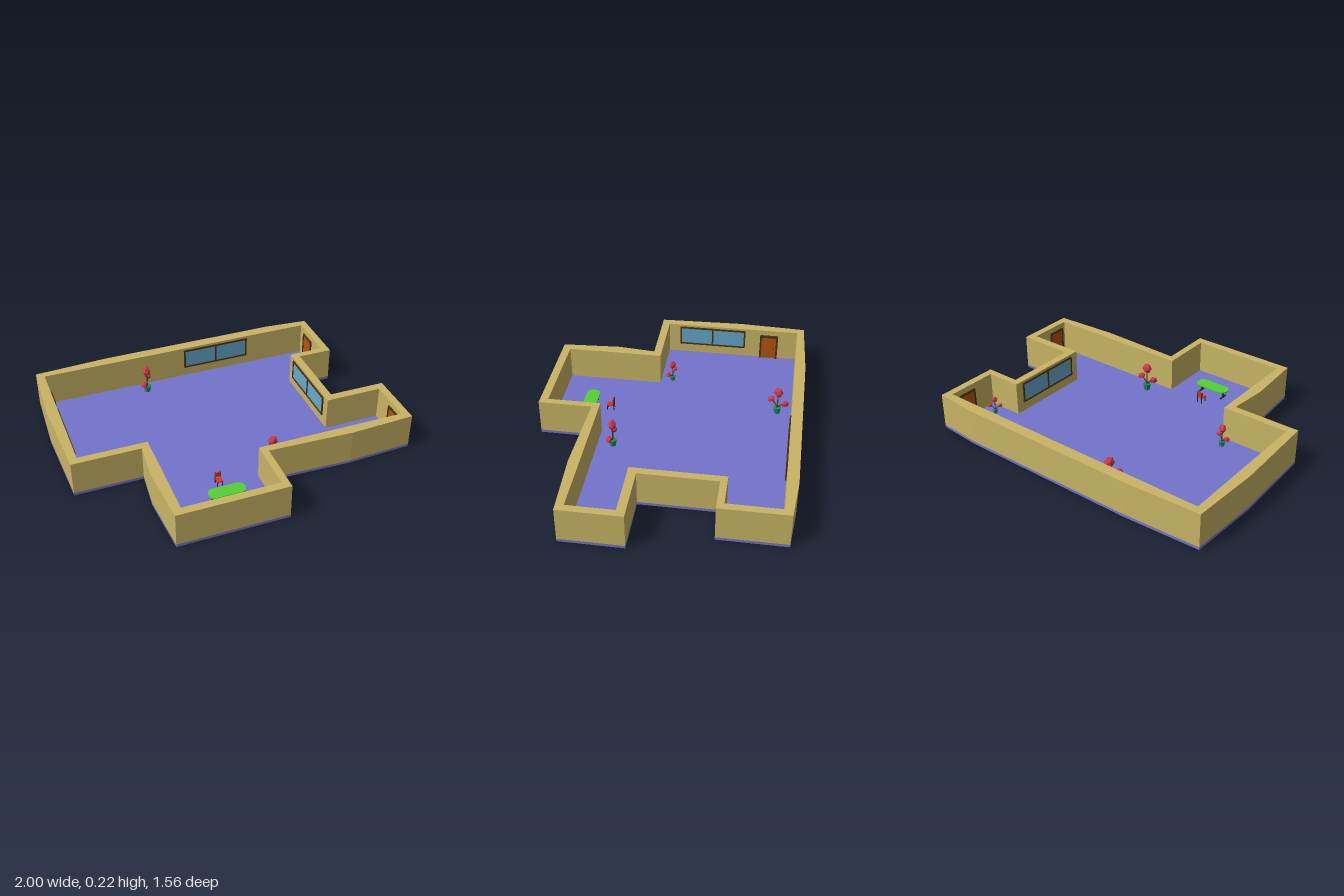
import * as THREE from 'three';

const FLOOR = 0.017, TOP = 0.222;
const mat = (color, flat = false) => new THREE.MeshStandardMaterial({ color, flatShading: flat });
const M = {
  floor: mat(0x7474cc), wall: mat(0xc9b565), frame: mat(0x4a3312), glass: mat(0x66a8cc),
  door: mat(0xb5560f), leaf: mat(0xd03a48, true), stem: mat(0x5a3818), pot: mat(0x1f8a5c, true),
  green: mat(0x55d033), dark: mat(0x2a2a2a), seat: mat(0xe03020),
};

function add(parent, name, geometry, material, x = 0, y = 0, z = 0) {
  const m = new THREE.Mesh(geometry, material);
  m.name = name;
  m.position.set(x, y, z);
  parent.add(m);
  return m;
}
const box = (w, h, d) => new THREE.BoxGeometry(w, h, d);

// Plan corners are [x, z]
const OUTER = [[-0.98, -0.76], [-0.52, -0.784], [0.6, -0.784], [0.864, -0.762], [0.864, -0.366],
  [0.65, -0.366], [0.65, 0.088], [0.997, 0.088], [0.997, 0.457], [0.6, 0.476], [0.085, 0.457],
  [0.085, 0.779], [-0.572, 0.779], [-0.594, 0.42], [-0.572, 0.187], [-0.98, 0.187], [-1, -0.34]];
const INNER = [[-0.933, -0.717], [0.82, -0.717], [0.82, -0.406], [0.604, -0.406], [0.604, 0.139],
  [0.952, 0.139], [0.952, 0.412], [0.043, 0.412], [0.043, 0.73], [-0.524, 0.73], [-0.524, 0.139],
  [-0.933, 0.139]];

// Extrude a plan shape between two heights
function slab(shape, y0, y1) {
  const g = new THREE.ExtrudeGeometry(shape, { depth: y1 - y0, bevelEnabled: false, curveSegments: 8 });
  return g.rotateX(Math.PI / 2).translate(0, y1, 0);
}
const toShape = (pts) => new THREE.Shape(pts.map(([x, z]) => new THREE.Vector2(x, z)));

// Two-pane window, built facing +z against a wall at z = 0
function makeWindow() {
  const g = new THREE.Group(), w = 0.44, h = 0.13, t = 0.01;
  g.name = 'window';
  for (const s of [-1, 1]) {
    add(g, 'windowRail', box(w, t, 0.008), M.frame, 0, s * (h - t) / 2, 0.004);
    add(g, 'windowStile', box(t, h, 0.008), M.frame, s * (w - t) / 2, 0, 0.004);
    add(g, 'windowPane', box(w / 2 - t, h - 2 * t, 0.004), M.glass, s * w / 4, 0, 0.002);
  }
  add(g, 'windowMullion', box(t, h, 0.008), M.frame, 0, 0, 0.004);
  return g;
}

// Door with frame, facing +z, standing on y = 0
function makeDoor(depth) {
  const g = new THREE.Group(), w = 0.12, h = 0.17, t = 0.012;
  g.name = 'door';
  for (const s of [-1, 1]) add(g, 'doorJamb', box(t, h, depth), M.frame, s * (w - t) / 2, h / 2, depth / 2);
  add(g, 'doorLintel', box(w, t, depth), M.frame, 0, h - t / 2, depth / 2);
  add(g, 'doorPanel', box(w - 2 * t, h - t, depth * 0.6), M.door, 0, (h - t) / 2, depth * 0.3);
  add(g, 'doorKnob', new THREE.SphereGeometry(0.004, 8, 6), M.dark, 0.035, 0.075, depth * 0.75);
  return g;
}

// Potted plant with one tall and two side leaf clumps
function makePlant() {
  const g = new THREE.Group();
  g.name = 'plant';
  add(g, 'pot', new THREE.CylinderGeometry(0.024, 0.018, 0.04, 8), M.pot, 0, 0.02, 0);
  const clumps = [[0, 0.15, 0, 0.032, 0.034, 0.026], [0.052, 0.078, 0.006, 0.026, 0.02, 0.02],
    [-0.05, 0.082, 0.006, 0.026, 0.022, 0.018]];
  clumps.forEach(([x, y, z, sx, sy, sz], i) => {
    const path = new THREE.QuadraticBezierCurve3(new THREE.Vector3(0, 0.035, 0),
      new THREE.Vector3(x * 0.2, y * 0.75, z), new THREE.Vector3(x, y, z));
    add(g, 'stem', new THREE.TubeGeometry(path, 5, 0.004, 5), M.stem);
    const leaf = add(g, 'leafClump', new THREE.IcosahedronGeometry(1, 0), M.leaf, x, y, z);
    leaf.scale.set(sx, sy, sz);
    leaf.rotation.set(0, 0.5 * i, [0, -0.35, 0.35][i]);
  });
  return g;
}

function makeTable() {
  const g = new THREE.Group(), w = 0.109, d = 0.042, r = 0.036;
  g.name = 'table';
  const s = new THREE.Shape();
  s.absarc(w - r, d - r, r, 0, Math.PI / 2);
  s.absarc(r - w, d - r, r, Math.PI / 2, Math.PI);
  s.absarc(r - w, r - d, r, Math.PI, Math.PI * 1.5);
  s.absarc(w - r, r - d, r, Math.PI * 1.5, Math.PI * 2);
  add(g, 'tableTop', slab(s, 0.048, 0.056), M.green);
  for (const x of [-0.08, 0.08]) {
    add(g, 'tableLeg', box(0.01, 0.048, 0.01), M.dark, x, 0.024, 0);
    add(g, 'tableFoot', box(0.01, 0.006, 0.06), M.dark, x, 0.003, 0);
  }
  return g;
}

function makeChair() {
  const g = new THREE.Group();
  g.name = 'chair';
  add(g, 'seat', box(0.036, 0.007, 0.036), M.seat, 0, 0.034, 0.003);
  add(g, 'backrest', box(0.036, 0.028, 0.006), M.seat, 0, 0.06, -0.018);
  for (const x of [-0.015, 0.015]) {
    add(g, 'backPost', box(0.005, 0.076, 0.005), M.dark, x, 0.038, -0.022);
    add(g, 'frontLeg', box(0.005, 0.031, 0.005), M.dark, x, 0.0155, 0.018);
  }
  return g;
}

export function createModel() {
  const model = new THREE.Group();
  model.name = 'house';
  const place = (g, x, y, z, turn = 0, scale = 1) => {
    g.position.set(x, y, z);
    g.rotation.y = turn;
    g.scale.setScalar(scale);
    model.add(g);
  };

  // Shell: floor slab and one ring of walls
  add(model, 'floor', slab(toShape(OUTER), 0, FLOOR), M.floor);
  const ring = toShape(OUTER);
  ring.holes.push(toShape(INNER));
  add(model, 'walls', slab(ring, FLOOR, TOP), M.wall);

  // Openings, turned to face into the room
  const q = Math.PI / 2;
  place(makeWindow(), 0.2, 0.143, -0.717);
  place(makeWindow(), -0.933, 0.143, -0.155, q);
  place(makeWindow(), 0.604, 0.143, -0.135, -q);
  place(makeDoor(0.014), -0.933, FLOOR, -0.535, q);
  place(makeDoor(0.008), 0.82, FLOOR, -0.607, -q);
  place(makeDoor(0.008), 0.952, FLOOR, 0.33, -q);

  // Furniture
  place(makeTable(), -0.192, FLOOR, 0.528);
  place(makeChair(), -0.193, FLOOR, 0.404);
  place(makePlant(), -0.302, FLOOR, -0.63, 1.05 + Math.PI);
  place(makePlant(), 0.725, FLOOR, -0.48, 0.62, 0.62);
  place(makePlant(), -0.567, FLOOR, 0.066, -0.42, 0.78);
  place(makePlant(), 0.17, FLOOR, 0.318, -0.1);
  return model;
}
